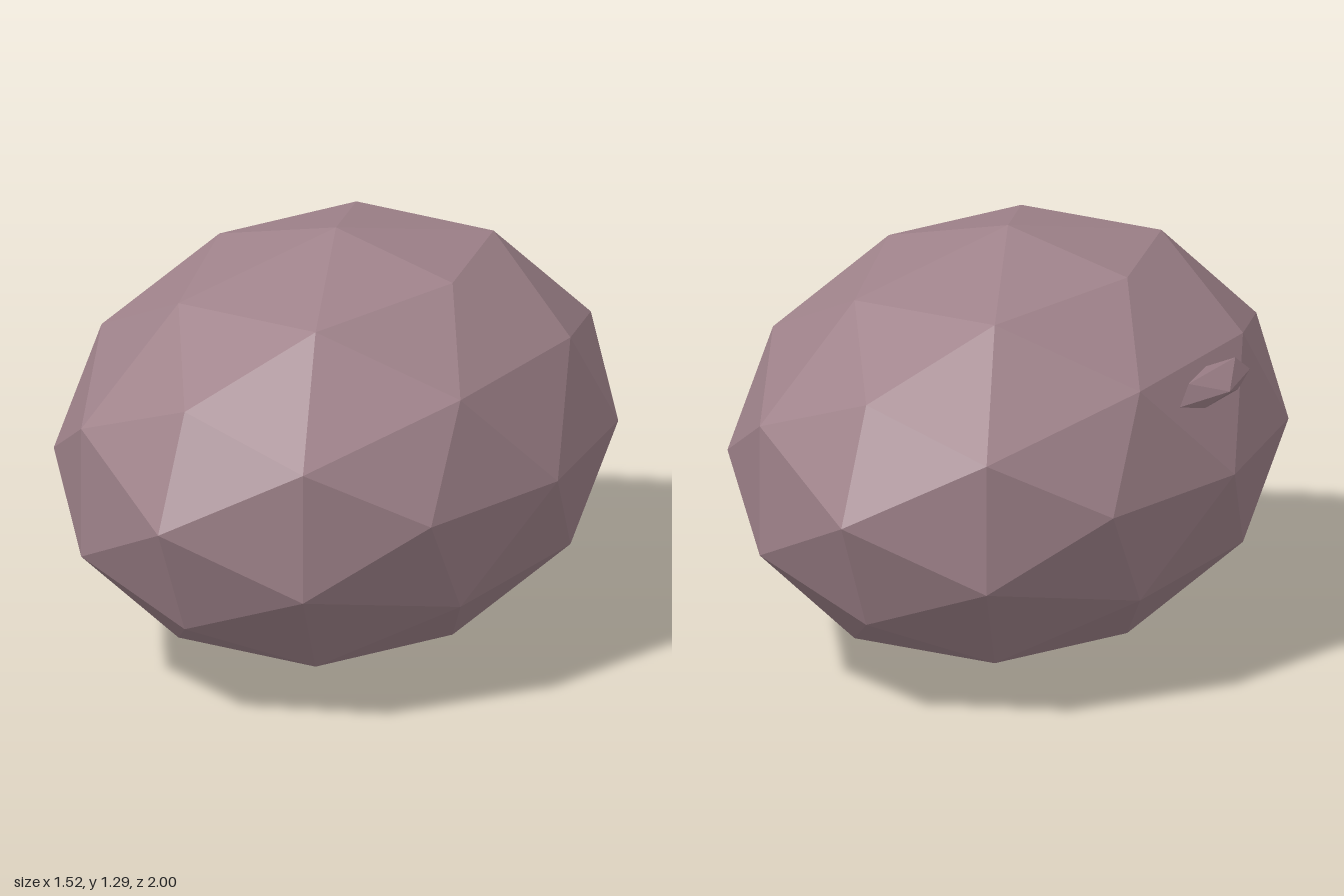
import * as THREE from 'three';
import { ConvexGeometry } from 'three/addons/geometries/ConvexGeometry.js';

export function createModel() {
  const group = new THREE.Group();
  const stone = new THREE.MeshStandardMaterial({ color: 0xa0838b, flatShading: true });
  stone.name = 'mauve stone';

  // Faceted boulder: a once-subdivided icosahedron squashed to an ellipsoid
  const bodyGeometry = new THREE.IcosahedronGeometry(1, 1);
  bodyGeometry.scale(0.76, 0.645, 1);
  bodyGeometry.translate(0, 0.645, 0);
  const body = new THREE.Mesh(bodyGeometry, stone);
  body.name = 'boulder';
  group.add(body);

  // Small shard breaking through the upper side
  const corners = [
    [-0.71, 0.875, 0.06], [-0.66, 0.875, 0.27], [-0.66, 0.88, -0.15],
    [-0.65, 0.93, 0.2], [-0.65, 0.93, -0.08], [-0.63, 0.94, 0.06],
    [-0.67, 0.84, 0.18], [-0.67, 0.84, -0.02], [-0.58, 0.89, 0.06],
  ].map((p) => new THREE.Vector3(...p));
  const shard = new THREE.Mesh(new ConvexGeometry(corners), stone);
  shard.name = 'sideShard';
  group.add(shard);

  return group;
}
